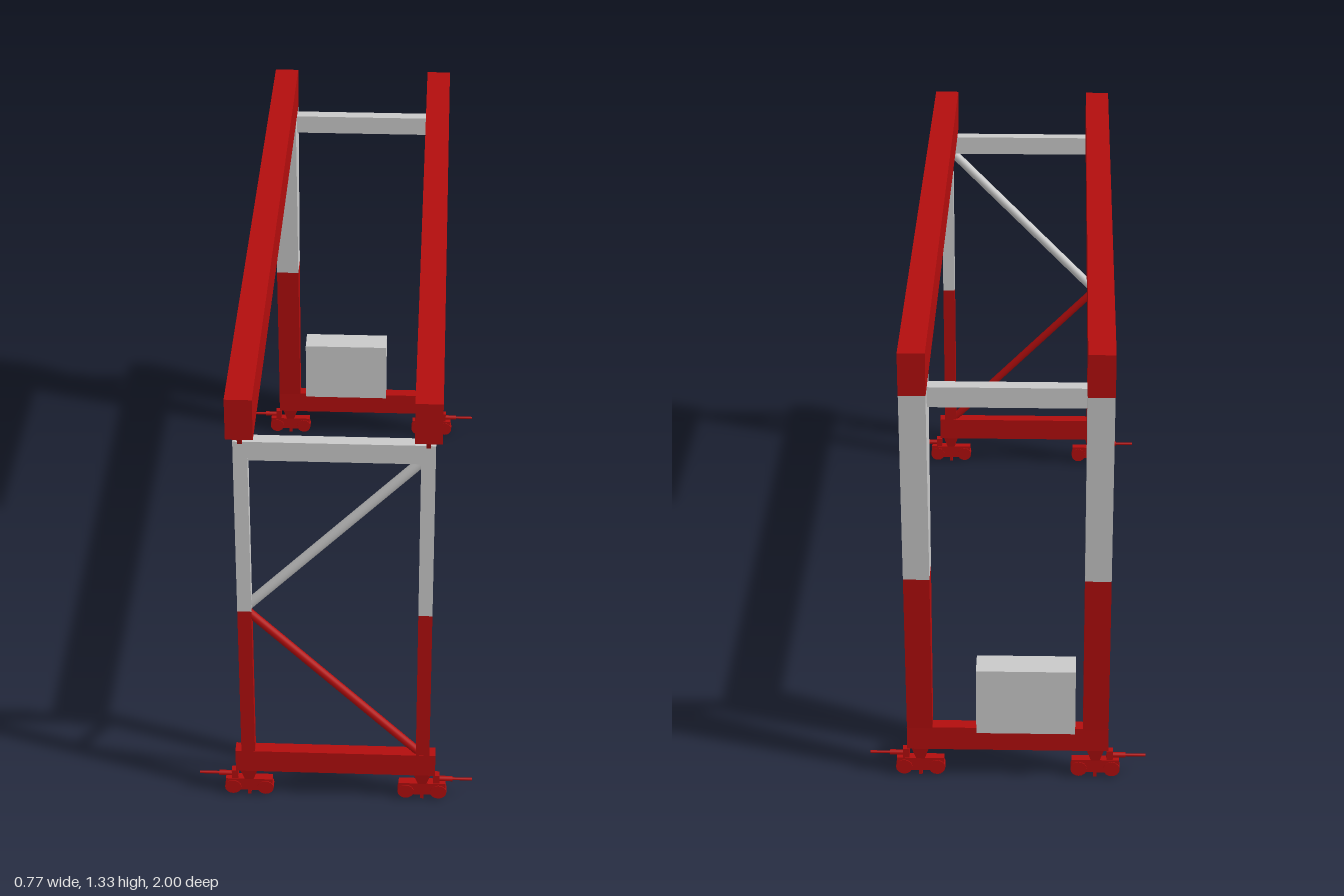
import * as THREE from 'three';

const red = new THREE.MeshStandardMaterial({ color: 0xb20d0d });
red.name = 'crane red';
const grey = new THREE.MeshStandardMaterial({ color: 0xc9c9c9 });
grey.name = 'light grey';

const LEG_X = 0.244;   // leg centre line
const SPLIT = 0.65;    // height of the colour change
const FRONT_Z = 0.965;
const BACK_Z = -0.928;

function add(parent, name, geometry, material) {
  const mesh = new THREE.Mesh(geometry, material);
  mesh.name = name;
  parent.add(mesh);
  return mesh;
}

// Box given by its limits on each axis
function block(parent, name, material, [x0, x1], [y0, y1], [z0, z1]) {
  const mesh = add(parent, name, new THREE.BoxGeometry(x1 - x0, y1 - y0, z1 - z0), material);
  mesh.position.set((x0 + x1) / 2, (y0 + y1) / 2, (z0 + z1) / 2);
  return mesh;
}

// Box whose top and bottom have different sizes
function taper(parent, name, material, x, z, [y0, w0, d0], [y1, w1, d1]) {
  const geometry = new THREE.BoxGeometry(1, y1 - y0, 1);
  const p = geometry.attributes.position;
  for (let i = 0; i < p.count; i++) {
    const top = p.getY(i) > 0;
    p.setX(i, p.getX(i) * (top ? w1 : w0));
    p.setZ(i, p.getZ(i) * (top ? d1 : d0));
  }
  geometry.computeVertexNormals();
  const mesh = add(parent, name, geometry, material);
  mesh.position.set(x, (y0 + y1) / 2, z);
  return mesh;
}

// Round bar between two points
function bar(parent, name, material, a, b, radius) {
  const from = new THREE.Vector3(...a), to = new THREE.Vector3(...b);
  const dir = to.clone().sub(from);
  const mesh = add(parent, name, new THREE.CylinderGeometry(radius, radius, dir.length(), 16), material);
  mesh.position.copy(from).add(to).multiplyScalar(0.5);
  mesh.quaternion.setFromUnitVectors(new THREE.Vector3(0, 1, 0), dir.normalize());
  return mesh;
}

// Two-wheeled bogie with an outward buffer; side is +1 or -1
function bogie(side, z) {
  const g = new THREE.Group();
  g.name = 'bogie';
  g.position.set(side * LEG_X, 0, z);
  taper(g, 'bogieNeck', red, 0, 0, [0.055, 0.024, 0.024], [0.092, 0.048, 0.034]);
  block(g, 'bogieFrame', red, [-0.066, 0.066], [0.04, 0.056], [-0.012, 0.012]);
  block(g, 'bogieBody', red, [-0.036, 0.036], [0.014, 0.042], [-0.01, 0.01]);
  block(g, 'railGuide', red, [-0.005, 0.005], [0, 0.02], [-0.01, 0.01]);
  for (const s of [-1, 1]) {
    bar(g, 'wheel', red, [s * 0.046, 0.027, -0.014], [s * 0.046, 0.027, 0.014], 0.023);
  }
  const x = side * 0.04;
  block(g, 'bufferBracket', red, [x - 0.009, x + 0.009], [0.05, 0.084], [-0.01, 0.01]);
  bar(g, 'bufferSleeve', red, [side * 0.045, 0.067, 0], [side * 0.085, 0.067, 0], 0.0075);
  bar(g, 'bufferRod', red, [side * 0.085, 0.067, 0], [side * 0.14, 0.067, 0], 0.004);
  return g;
}

export function createModel() {
  const crane = new THREE.Group();
  crane.name = 'gantryCrane';
  const hingedPortal = new THREE.Group();
  hingedPortal.name = 'hingedPortal';
  const rigidPortal = new THREE.Group();
  rigidPortal.name = 'rigidPortal';
  crane.add(hingedPortal, rigidPortal);

  for (const s of [-1, 1]) {
    const x = s * LEG_X;
    // Main girders
    block(crane, 'girder', red, [x - 0.036, x + 0.036], [1.213, 1.334], [-1, 1]);

    // Slender front legs with hinge plates
    const legX = [x - 0.019, x + 0.019], legZ = [FRONT_Z - 0.018, FRONT_Z + 0.018];
    block(hingedPortal, 'lowerFrontLeg', red, legX, [0.16, SPLIT], legZ);
    block(hingedPortal, 'upperFrontLeg', grey, legX, [SPLIT, 1.196], legZ);
    taper(hingedPortal, 'hingePlate', red, x, FRONT_Z, [1.19, 0.012, 0.038], [1.214, 0.012, 0.068]);

    // Back legs widening towards the girder
    taper(rigidPortal, 'lowerBackLeg', red, x, BACK_Z, [0.16, 0.071, 0.038], [SPLIT, 0.071, 0.084]);
    taper(rigidPortal, 'upperBackLeg', grey, x, BACK_Z, [SPLIT, 0.071, 0.084], [1.213, 0.071, 0.143]);

    hingedPortal.add(bogie(s, FRONT_Z));
    rigidPortal.add(bogie(s, BACK_Z));
  }

  // Sill beams
  for (const [portal, z] of [[hingedPortal, FRONT_Z], [rigidPortal, BACK_Z]]) {
    block(portal, 'sillBeam', red, [-0.28, 0.28], [0.091, 0.163], [z - 0.0185, z + 0.0185]);
  }

  // Top cross beams
  block(hingedPortal, 'frontCrossBeam', grey, [-0.226, 0.226], [1.139, 1.196], [FRONT_Z - 0.0175, FRONT_Z + 0.0175]);
  block(rigidPortal, 'backCrossBeam', grey, [-0.21, 0.21], [1.155, 1.2125], [BACK_Z - 0.0185, BACK_Z + 0.0185]);

  // Diagonal braces of the front portal
  bar(hingedPortal, 'upperBrace', grey, [-0.235, 0.66, FRONT_Z], [0.235, 1.145, FRONT_Z], 0.014);
  bar(hingedPortal, 'lowerBrace', red, [-0.235, 0.638, FRONT_Z], [0.235, 0.16, FRONT_Z], 0.012);

  // Machinery cabinet on the back sill
  block(rigidPortal, 'cabinet', grey, [-0.187, 0.086], [0.163, 0.364], [-0.972, -0.89]);

  return crane;
}
